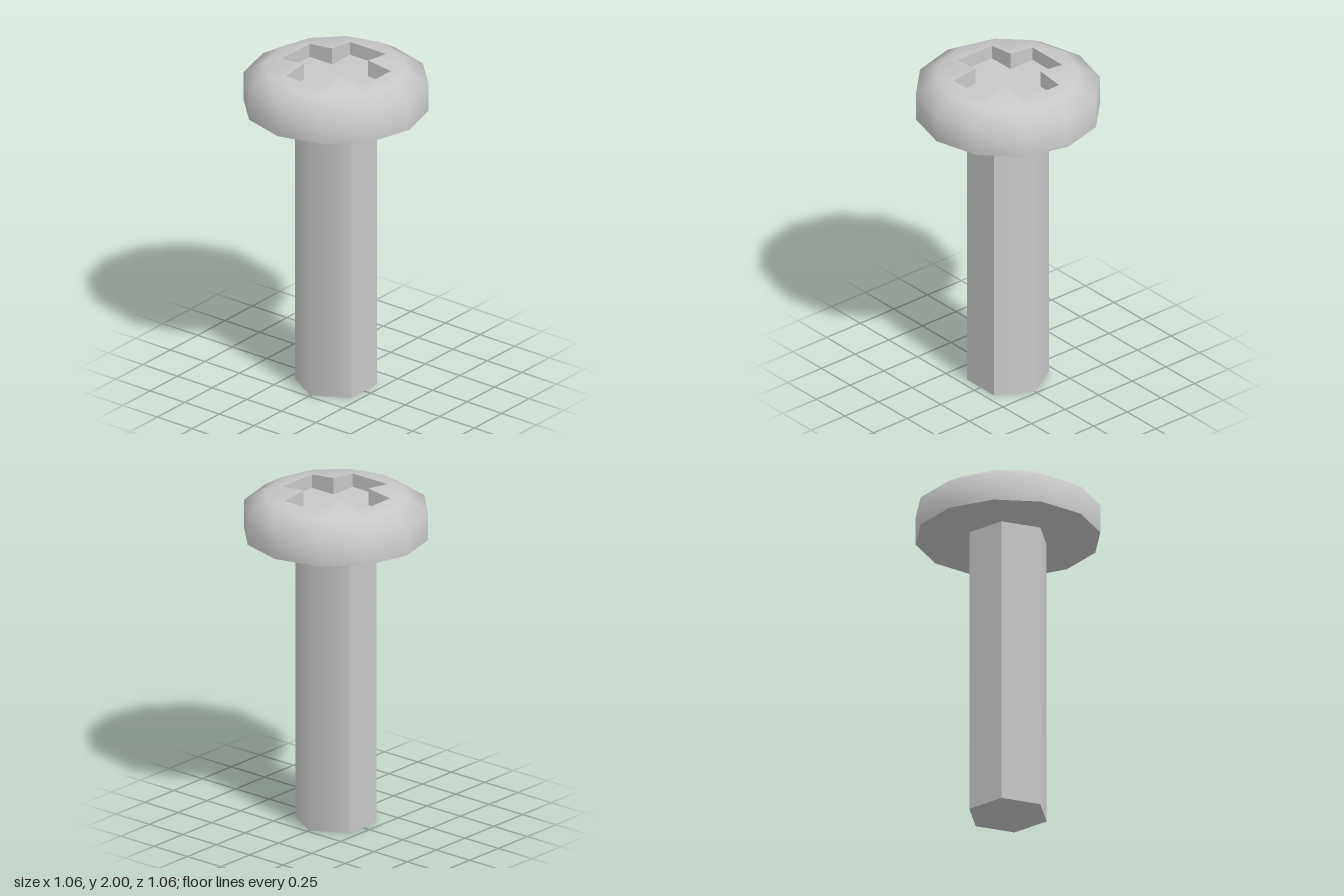
import * as THREE from 'three';

const SIDES = 12, UNDERSIDE = 1.73, FLOOR = 1.9;

function indexed(points, triangles) {
  const g = new THREE.BufferGeometry();
  g.setAttribute('position', new THREE.Float32BufferAttribute(points.flat(), 3));
  g.setIndex(triangles.flat());
  g.computeVertexNormals();
  return g;
}

function flat(geometry) {
  const g = geometry.toNonIndexed();
  g.computeVertexNormals();
  return g;
}

function ring(radius, y) {
  return Array.from({ length: SIDES }, (_, i) => {
    const a = (i / SIDES) * Math.PI * 2;
    return [radius * Math.cos(a), y, radius * Math.sin(a)];
  });
}

// Cross outline: three corners per quadrant, turned four times
function crossOutline() {
  const points = [];
  let quarter = [[0.293, 1.981, 0.13], [0.13, 2, 0.13], [0.13, 1.981, 0.293]];
  for (let q = 0; q < 4; q++) {
    points.push(...quarter);
    quarter = quarter.map(([x, y, z]) => [-z, y, x]);
  }
  return points;
}

export function createModel() {
  const group = new THREE.Group();
  const steel = new THREE.MeshStandardMaterial({ color: 0xc8c8c8 });
  steel.name = 'steel grey';
  const add = (name, geometry) => {
    const mesh = new THREE.Mesh(geometry, steel);
    mesh.name = name;
    group.add(mesh);
  };

  // Hexagonal shaft: flat left and right faces, softened front and back ridges
  const shaft = flat(new THREE.CylinderGeometry(0.235, 0.235, UNDERSIDE, 6));
  const p = shaft.attributes.position, n = shaft.attributes.normal;
  for (let i = 0; i < p.count; i++) {
    if (Math.abs(n.getY(i)) < 0.5 && Math.abs(p.getX(i)) < 0.01) {
      n.setXYZ(i, 0, 0, Math.sign(p.getZ(i)));
    }
  }
  shaft.translate(0, UNDERSIDE / 2, 0);
  add('shaft', shaft);

  // Head shell: wall, bevel and shallow dome around the cross opening
  const cross = crossOutline();
  const shell = [...ring(0.53, UNDERSIDE), ...ring(0.53, 1.9), ...ring(0.41, 1.973), ...cross];
  const triangles = [];
  for (let level = 0; level < 2; level++) {
    for (let i = 0; i < SIDES; i++) {
      const b = level * SIDES, j = (i + 1) % SIDES;
      triangles.push([b + i, b + SIDES + i, b + SIDES + j], [b + i, b + SIDES + j, b + j]);
    }
  }
  for (let q = 0; q < 4; q++) {
    const R = (k) => 2 * SIDES + ((3 * q + k) % SIDES);
    const C = (k) => 3 * SIDES + ((3 * q + k + SIDES) % SIDES);
    triangles.push([R(0), C(-1), C(0)], [R(0), C(0), R(1)], [R(1), C(0), C(1)],
      [R(1), C(1), R(2)], [R(2), C(1), C(2)], [R(2), C(2), R(3)]);
  }
  add('headShell', indexed(shell, triangles));

  // Flat underside of the head
  const underside = new THREE.CircleGeometry(0.53, SIDES);
  underside.rotateX(Math.PI / 2).translate(0, UNDERSIDE, 0);
  add('headUnderside', underside);

  // Cross recess: inward-facing walls and floor
  const walls = [];
  for (let i = 0; i < SIDES; i++) {
    const j = (i + 1) % SIDES;
    walls.push([SIDES + i, j, i], [SIDES + i, SIDES + j, j]);
  }
  const lower = cross.map(([x, , z]) => [x, FLOOR, z]);
  add('recessWalls', flat(indexed([...cross, ...lower], walls)));

  const floor = new THREE.ShapeGeometry(
    new THREE.Shape(cross.map(([x, , z]) => new THREE.Vector2(x, z))));
  floor.rotateX(-Math.PI / 2).translate(0, FLOOR, 0);
  add('recessFloor', floor);

  return group;
}
